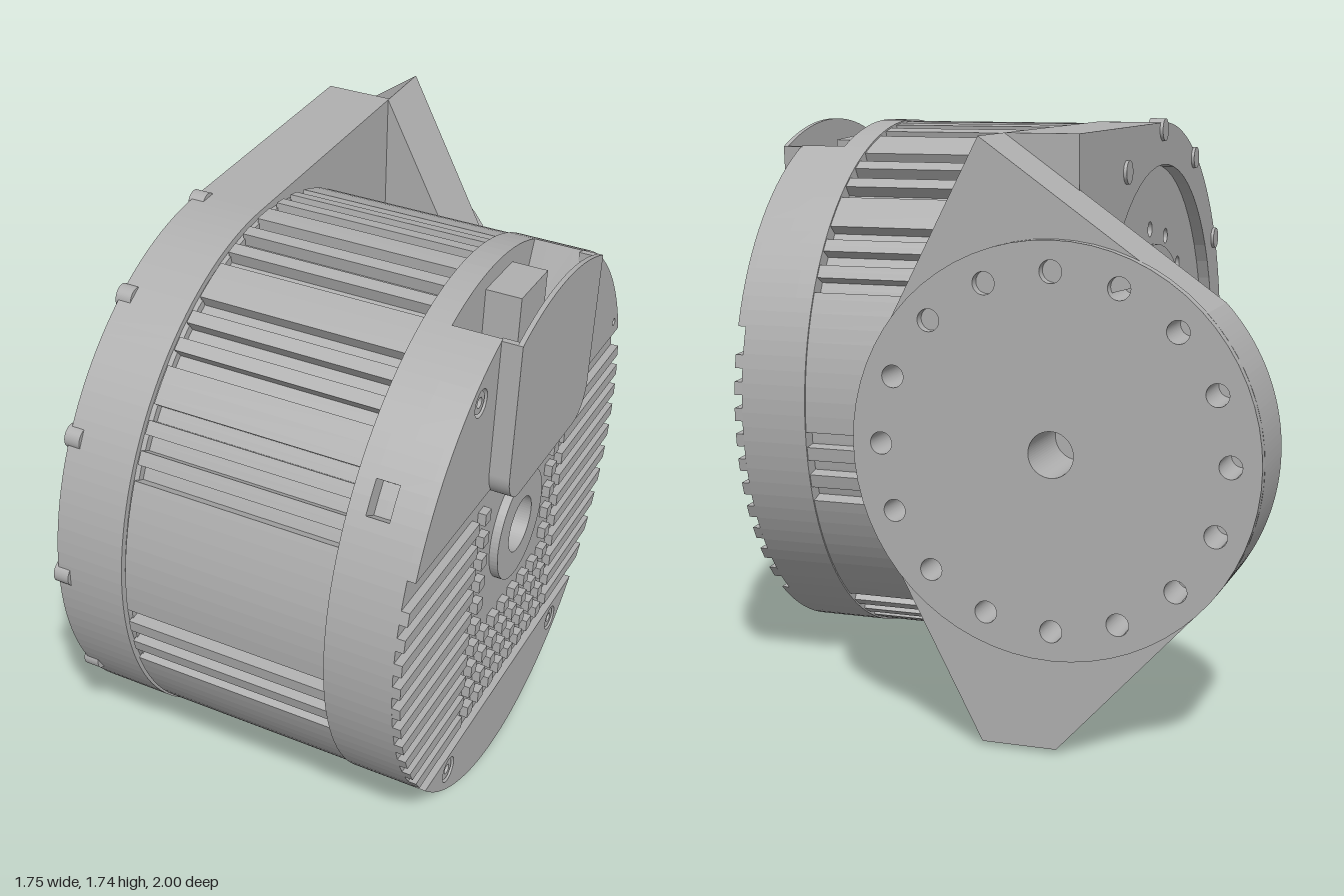
import * as THREE from 'three';

const RAD = Math.PI / 180;
const R = 0.855;            // motor radius
const BORE = 0.09;          // hollow shaft radius
const metal = new THREE.MeshStandardMaterial({ color: 0xb0b0b0 });
metal.name = 'grey metal';

// Extrude a shape between two depths and add it to a group
function slab(parent, name, shape, d0, d1) {
  const geo = new THREE.ExtrudeGeometry(shape, { depth: d1 - d0, bevelEnabled: false, curveSegments: 32 });
  const mesh = new THREE.Mesh(geo, metal);
  mesh.name = name;
  mesh.position.z = d0;
  parent.add(mesh);
  return mesh;
}

function circle(r, u = 0, v = 0) {
  return new THREE.Shape().absarc(u, v, r, 0, Math.PI * 2, false);
}

function withHoles(shape, holes) {
  for (const [r, u = 0, v = 0] of holes) {
    shape.holes.push(new THREE.Path().absarc(u, v, r, 0, Math.PI * 2, true));
  }
  return shape;
}

function rect(u0, v0, u1, v1) {
  return new THREE.Shape([[u0, v0], [u1, v0], [u1, v1], [u0, v1]].map(p => new THREE.Vector2(...p)));
}

// Positions evenly spaced around a ring, as [holeRadius, u, v]
function ring(count, radius, holeR, u = 0, v = 0) {
  return Array.from({ length: count }, (_, i) => {
    const a = i / count * Math.PI * 2;
    return [holeR, u + Math.cos(a) * radius, v + Math.sin(a) * radius];
  });
}

// Round outline with notches given as [startDegree, endDegree, depth]
function notchedPoints(r, notches) {
  const pts = [];
  for (let a = 0; a < 360; a += 3) {
    const n = notches.find(([a0, a1]) => a >= a0 && a <= a1);
    if (!n) pts.push([a, r]);
    else if (a > n[0] + 0.1 && a < n[1] - 0.1) pts.push([a, r - n[2]]);
  }
  for (const [a0, a1, d] of notches) {
    pts.push([a0, r], [a0 + 0.02, r - d], [a1 - 0.02, r - d], [a1, r]);
  }
  pts.sort((p, q) => p[0] - q[0]);
  return pts.map(([a, q]) => new THREE.Vector2(Math.cos(a * RAD) * q, Math.sin(a * RAD) * q));
}

// Ribbed motor body, with its shaft axis along local z
function addBody(motor) {
  const slots = [];
  for (const c of [33, 56, 80, 349, 304]) {
    for (const m of [c, (540 - c) % 360]) {
      for (const o of [-6, 0, 6]) slots.push([m + o - 1.6, m + o + 1.6, 0.04]);
    }
  }
  const shape = withHoles(new THREE.Shape(notchedPoints(0.85, slots)), [[BORE]]);
  slab(motor, 'ribbedBody', shape, -0.07, 0.575);
  slab(motor, 'bodySeam', withHoles(circle(0.835), [[BORE]]), -0.085, -0.065);
}

// Stepped output face recessed inside the flange
function addOutputFace(motor) {
  slab(motor, 'outputRing', withHoles(circle(0.72), [[0.44], ...ring(16, 0.51, 0.025)]), -0.26, -0.08);
  slab(motor, 'innerRingLip', withHoles(circle(0.46), [[0.43]]), -0.275, -0.1);
  slab(motor, 'outputDisc', withHoles(circle(0.45), [[BORE]]), -0.22, -0.08);
  slab(motor, 'outputHub', withHoles(circle(0.2), [[BORE], ...ring(6, 0.145, 0.022)]), -0.25, -0.2);
}

// Flange with a straight arm reaching to the rear plate
function addFlange(motor) {
  const s = new THREE.Shape();
  s.moveTo(0, -R);
  s.lineTo(0.89, -R);
  s.lineTo(0.89, R);
  s.lineTo(0, R);
  s.absarc(0, 0, R, Math.PI / 2, Math.PI * 1.5, false);
  slab(motor, 'flangeArm', withHoles(s, [[0.72]]), -0.3, -0.08);
  for (const [r, u, v] of ring(12, 0.832, 0.036)) slab(motor, 'rimTab', circle(r, u, v), -0.31, -0.26);
}

// End cap with a connector pocket, cooling fins and a raised cover
function addCap(motor) {
  const cap = new THREE.Group();
  cap.name = 'endCap';
  cap.rotation.z = -3 * RAD;
  motor.add(cap);
  const side = [143.5, 150.5, 0.06], pocket = [69, 111, 0.2];
  const layers = [[0.575, 0.63, []], [0.63, 0.66, [side]], [0.66, 0.7, [pocket, side]], [0.7, 0.785, [pocket]]];
  for (const [d0, d1, n] of layers) {
    slab(cap, 'capLayer', withHoles(new THREE.Shape(notchedPoints(R, n)), [[BORE]]), d0, d1);
  }

  // Raised areas above and below the fins, with screws in counterbores
  const rim = notchedPoints(R, [pocket]);
  const chord = (v) => Math.sqrt(R * R - v * v);
  const upper = [new THREE.Vector2(chord(0.3), 0.3), ...rim.filter(p => p.y > 0.3), new THREE.Vector2(-chord(0.3), 0.3)];
  const lower = [new THREE.Vector2(-chord(0.6), -0.6), ...rim.filter(p => p.y < -0.6), new THREE.Vector2(chord(0.6), -0.6)];
  const screws = (v) => [[0.042, -0.43, v], [0.042, 0.43, v]];
  slab(cap, 'upperPanel', withHoles(new THREE.Shape(upper), [...screws(0.66), [0.012, 0.74, 0.35]]), 0.785, 0.81);
  slab(cap, 'lowerPanel', withHoles(new THREE.Shape(lower), screws(-0.66)), 0.785, 0.81);
  for (const [, u, v] of [...screws(0.66), ...screws(-0.66)]) {
    slab(cap, 'screw', withHoles(circle(0.034, u, v), [[0.016, u, v]]), 0.785, 0.805);
  }

  // Fins reach the rim; small blocks fill two columns and four rows
  for (let i = 0; i < 10; i++) {
    const v = -0.527 + 0.0805 * i, v0 = v - 0.02, v1 = v + 0.02;
    for (const s of [-1, 1]) {
      const p = [[0.35, v0], [chord(v0), v0], [chord(v1), v1], [0.35, v1]];
      slab(cap, 'coolingFin', new THREE.Shape(p.map(([u, w]) => new THREE.Vector2(u * s, w))), 0.785, 0.81);
    }
    for (let j = 0; j < 8; j++) {
      if (i > 3 && j > 0 && j < 7) continue;
      const u = -0.285 + j * 0.0814;
      slab(cap, 'coolingBlock', rect(u - 0.02, v0, u + 0.02, v1), 0.785, 0.81);
    }
  }
  slab(cap, 'shaftCollar', withHoles(circle(0.178), [[BORE]]), 0.78, 0.812);

  // Cover: solid lower part, open pocket above, thin outer plate
  const w = 0.315, b = 0.265, c = 0.1;
  const cover = (top, arched) => {
    const s = new THREE.Shape();
    s.moveTo(-w, top);
    s.lineTo(-w, b + c);
    s.absarc(-w + c, b + c, c, Math.PI, Math.PI * 1.5, false);
    s.absarc(w - c, b + c, c, Math.PI * 1.5, Math.PI * 2, false);
    s.lineTo(w, top);
    if (arched) s.absarc(0, 0, R, Math.atan2(top, w), Math.atan2(top, -w), false);
    return s;
  };
  slab(cap, 'coverBase', cover(0.64, false), 0.805, 0.858);
  slab(cap, 'coverPlate', cover(0.795, true), 0.857, 0.872);
  for (const s of [-1, 1]) {
    slab(cap, 'coverWall', rect(s * 0.305 - 0.01, 0.63, s * 0.305 + 0.01, 0.795), 0.805, 0.858);
  }
  slab(cap, 'connector', rect(-0.07, 0.6, 0.13, 0.8), 0.66, 0.77);
}

// Rear mounting plate: a disc blended to the arm's top and bottom corners
function addRearPlate(root) {
  const plate = new THREE.Group();
  plate.name = 'rearPlate';
  plate.position.set(-0.295, 0.87, 0);
  root.add(plate);
  const r = 0.585;
  const outline = () => {
    const s = new THREE.Shape();
    const aL = 136.5 * RAD, aR = 27.6 * RAD;
    s.moveTo(-0.005, R);
    s.absarc(0, 0, r, aL, Math.PI * 2 - aL, false);
    s.lineTo(-0.005, -R);
    s.lineTo(0.215, -R);
    s.absarc(0, 0, r, -aR, aR, false);
    s.lineTo(0.215, R);
    return s;
  };
  const small = [[0.065], ...ring(16, 0.5, 0.032)];
  const large = [[0.065], ...ring(16, 0.5, 0.052)];
  slab(plate, 'mountDisc', withHoles(circle(r), small), -1, -0.965);
  slab(plate, 'plateRear', withHoles(outline(), small), -0.97, -0.85);
  slab(plate, 'plateFront', withHoles(outline(), large), -0.85, -0.75);
  for (const [, u, v] of ring(16, 0.5, 0)) slab(plate, 'plateScrew', circle(0.048, u, v), -0.852, -0.77);
}

export function createModel() {
  const root = new THREE.Group();
  root.name = 'motorWithBracket';
  const motor = new THREE.Group();
  motor.name = 'motor';
  motor.position.set(0, 0.87, 0.13);
  motor.rotation.y = Math.PI / 2;
  root.add(motor);
  addBody(motor);
  addOutputFace(motor);
  addFlange(motor);
  addCap(motor);
  addRearPlate(root);
  return root;
}
